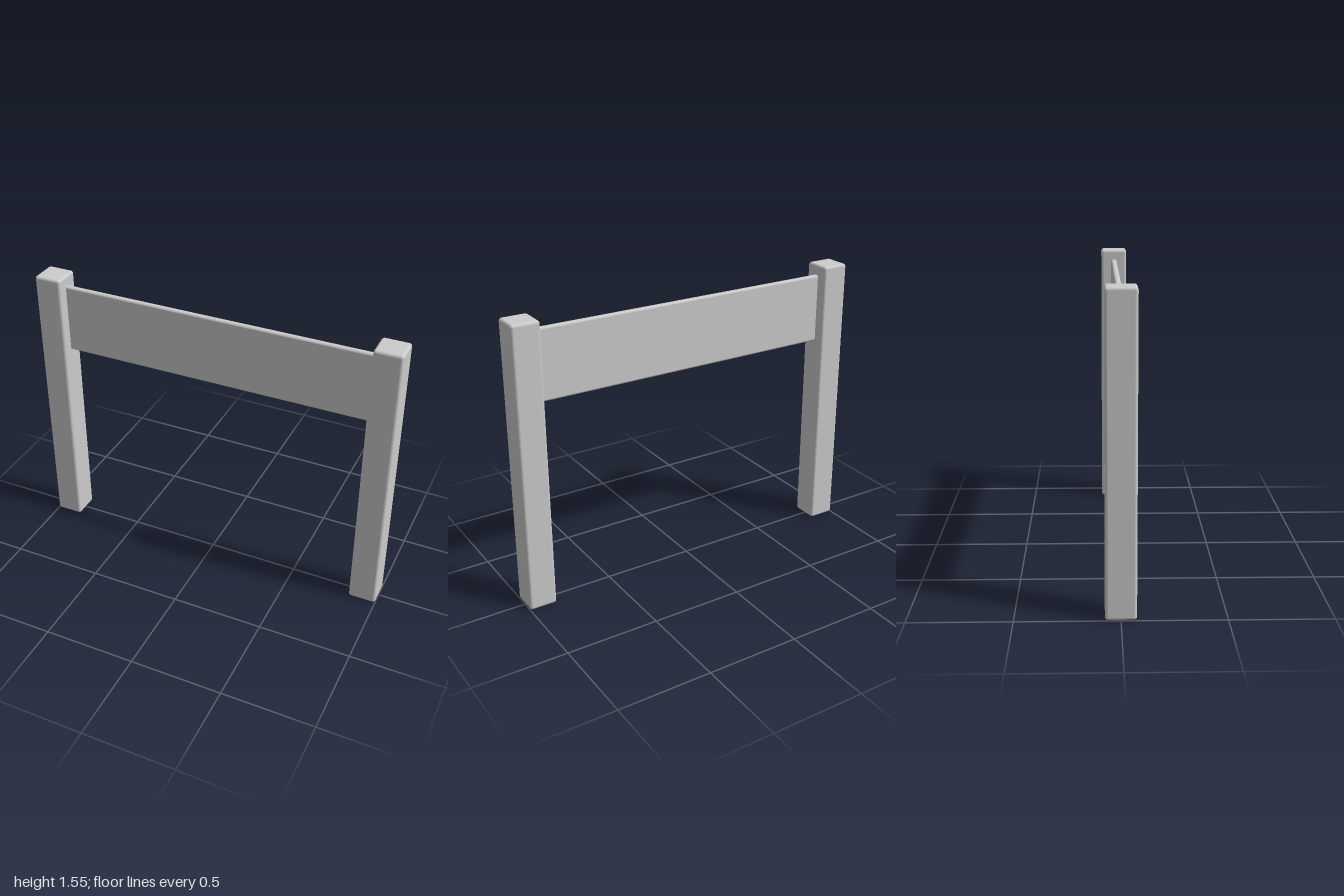
import * as THREE from 'three';
import { RoundedBoxGeometry } from 'three/addons/geometries/RoundedBoxGeometry.js';

const POST = 0.15, HEIGHT = 1.55;

export function createModel() {
  const model = new THREE.Group();
  const material = new THREE.MeshStandardMaterial({ color: 0xcccccc });

  // Box with softened edges, placed by its centre
  const addBoard = (name, size, radius, x, y) => {
    const mesh = new THREE.Mesh(new RoundedBoxGeometry(...size, 3, radius), material);
    mesh.name = name;
    mesh.position.set(x, y, 0);
    model.add(mesh);
  };

  // Two square posts
  for (const [name, side] of [['leftPost', 1], ['rightPost', -1]]) {
    addBoard(name, [POST, HEIGHT, POST], 0.015, side * (1 - POST / 2), HEIGHT / 2);
  }

  // Thin panel, its ends let slightly into the posts
  addBoard('panel', [1.73, 0.38, 0.032], 0.012, 0, 1.303);

  return model;
}
